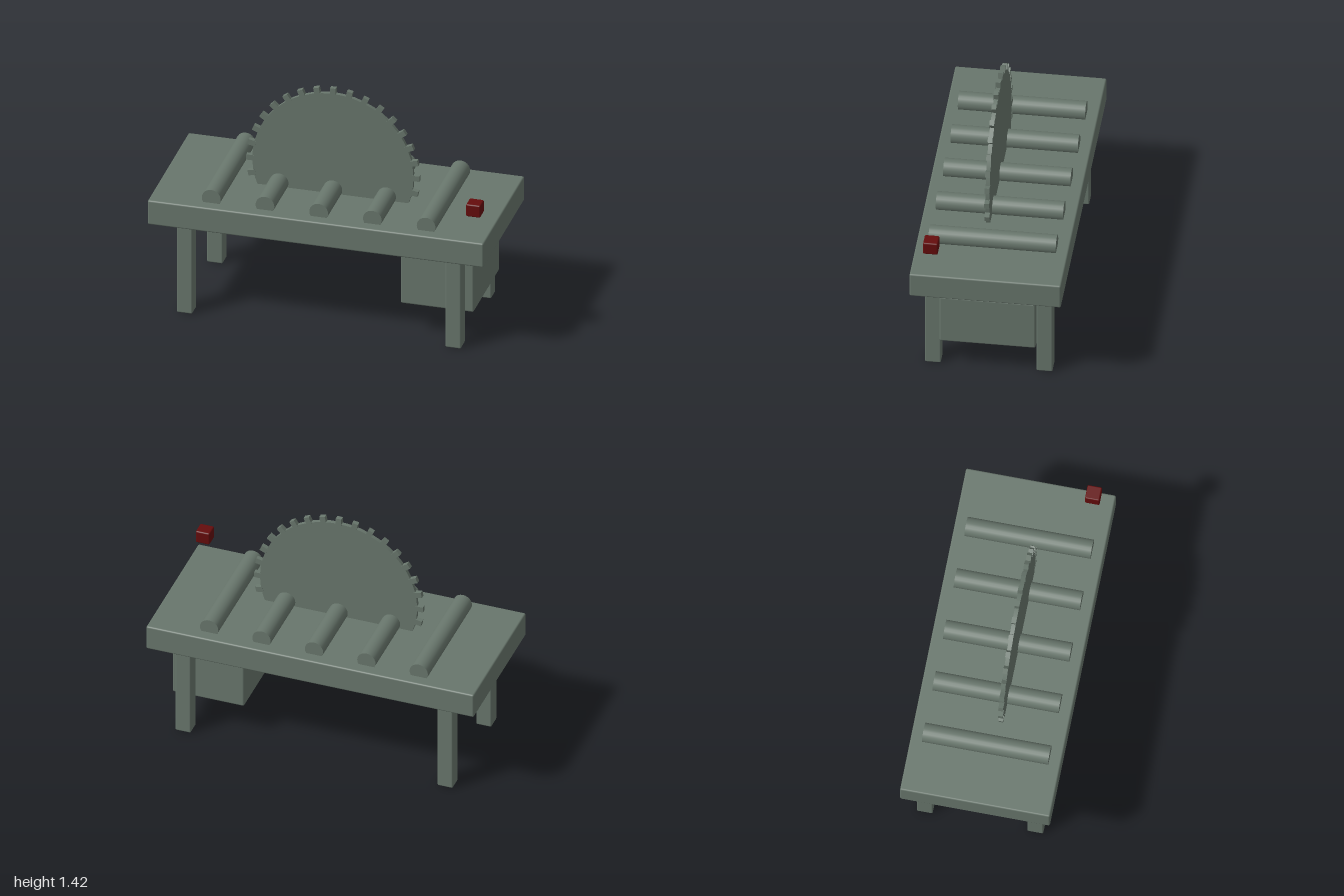
import * as THREE from 'three';
import { RoundedBoxGeometry } from 'three/addons/geometries/RoundedBoxGeometry.js';

export function createModel() {
  const model = new THREE.Group();
  model.name = 'sawTable';

  const steel = new THREE.MeshStandardMaterial({ color: 0x68766c });
  steel.name = 'grey green steel';
  const red = new THREE.MeshStandardMaterial({ color: 0x640c0c });
  red.name = 'dark red';

  const add = (parent, name, geometry, material, x, y, z) => {
    const mesh = new THREE.Mesh(geometry, material);
    mesh.name = name;
    mesh.position.set(x, y, z);
    parent.add(mesh);
    return mesh;
  };
  const block = (w, h, d, bevel = 0.01) => new RoundedBoxGeometry(w, h, d, 2, bevel);

  // Table top and four legs
  add(model, 'tableTop', block(2, 0.155, 0.876), steel, 0, 0.658, 0);
  for (const sx of [-1, 1]) {
    for (const sz of [-1, 1]) {
      add(model, 'leg', block(0.093, 0.6, 0.093, 0.008), steel, sx * 0.8, 0.3, sz * 0.323);
    }
  }

  // Motor housing hanging between the left legs
  add(model, 'motorHousing', block(0.436, 0.314, 0.556), steel, 0.679, 0.354, 0);

  // Feed rollers half sunk into the top
  const rollerGeometry = new THREE.CylinderGeometry(0.056, 0.056, 0.737, 24).rotateX(Math.PI / 2);
  for (let i = -2; i <= 2; i++) {
    add(model, 'roller', rollerGeometry, steel, i * 0.32, 0.764, 0);
  }

  // Circular blade with a ring of square teeth
  const saw = new THREE.Group();
  saw.name = 'sawBlade';
  saw.position.set(0, 0.9, 0.055);
  model.add(saw);
  const disc = new THREE.CylinderGeometry(0.48, 0.48, 0.024, 48).rotateX(Math.PI / 2);
  add(saw, 'bladeDisc', disc, steel, 0, 0, 0);
  const toothGeometry = new THREE.BoxGeometry(0.045, 0.034, 0.028);
  const teeth = 32;
  for (let i = 0; i < teeth; i++) {
    const a = (i / teeth) * Math.PI * 2;
    const tooth = add(saw, 'tooth', toothGeometry, steel, Math.cos(a) * 0.493, Math.sin(a) * 0.493, 0);
    tooth.rotation.z = a;
  }

  // Floating stop button
  add(model, 'stopButton', block(0.085, 0.078, 0.085, 0.008), red, 0.918, 0.899, 0.322);

  return model;
}
